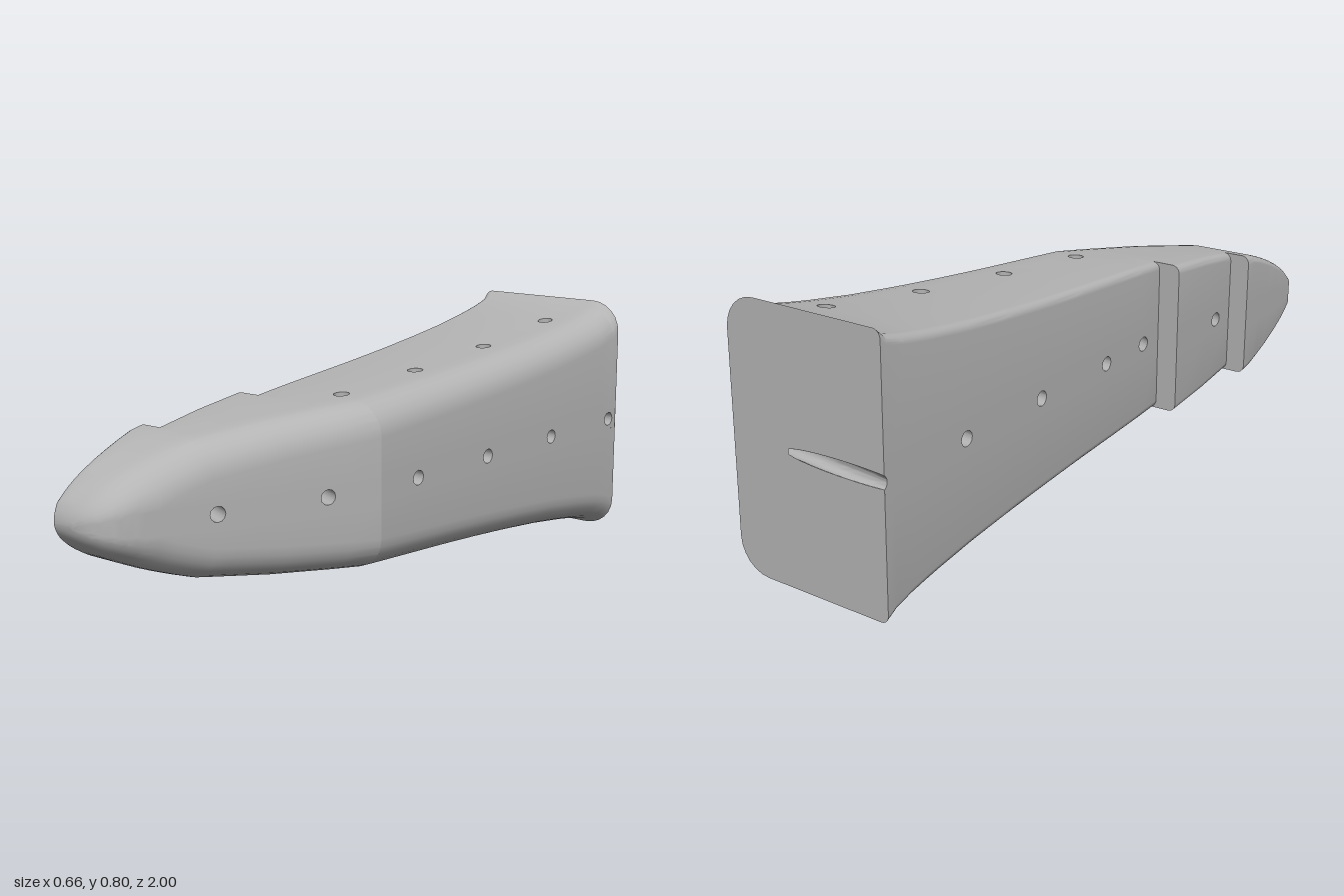
import * as THREE from 'three';
import { mergeGeometries, toCreasedNormals } from 'three/addons/utils/BufferGeometryUtils.js';

const CY = 0.403, R = 0.023, STRIP = 0.035, K_REAR = 0.105, K_FRONT = 0.467, KINK = 0.23, NOSE = 0.88;

// piecewise linear lookup in [z, value] pairs, z rising
function lookup(table, z) {
  for (let i = 1; i < table.length; i++) {
    const [z0, a] = table[i - 1], [z1, b] = table[i];
    if (z <= z1) return a + (b - a) * (z - z0) / (z1 - z0);
  }
  return table[table.length - 1][1];
}
const HEIGHT = [[-1, 0.4], [-0.96, 0.378], [-0.9, 0.362], [-0.81, 0.345], [-0.64, 0.321], [-0.47, 0.303],
  [-0.3, 0.288], [-0.13, 0.275], [0.04, 0.264], [0.21, 0.253], [0.32, 0.244], [0.5, 0.226], [0.66, 0.203], [0.7, 0.197]];
const NOSE_EDGE = [[0.88, -0.104], [0.92, -0.125], [0.95, -0.146], [0.975, -0.174], [0.99, -0.205], [1, -0.25]];
const halfHeight = z => z > 0.7 ? Math.max(0.36 * Math.sqrt(Math.max(0, 1 - z)), 0.004) : lookup(HEIGHT, z);
const outerX = z => z > NOSE ? lookup(NOSE_EDGE, z) : 0.2 - (z > KINK ? K_FRONT : K_REAR) * (z - KINK);
const rearZ = y => -1 + 0.015 * y / 0.803;

const STEPS = [{ z0: -1, z1: 0.32, x: -0.2 }, { z0: 0.32, z1: 0.66, x: -0.27 }, { z0: 0.66, z1: NOSE, x: -0.335 }];

// rounded cross-section, counterclockwise seen from the front
function section(z, xl) {
  const h = halfHeight(z), xr = outerX(z), w = xr - xl, upper = [];
  const rx = Math.min(0.1, w * 0.45), ry = Math.min(0.1, h * 0.7);
  const rl = Math.min(0.025, w * 0.2, h * 0.4), s = Math.min(STRIP, (h - ry) * 0.9);
  upper.push([xr, s]);
  for (let i = 0; i <= 6; i++) {
    const a = i * Math.PI / 12;
    upper.push([xr - rx + rx * Math.cos(a), h - ry + ry * Math.sin(a)]);
  }
  for (const d of [0.138, 0.198]) upper.push([Math.max(xr - d, xl + rl), h]);
  for (let i = 0; i <= 5; i++) {
    const a = Math.PI / 2 + i * Math.PI / 10;
    upper.push([xl + rl + rl * Math.cos(a), h - rl + rl * Math.sin(a)]);
  }
  upper.push([xl, s]);
  const ring = [...upper, ...upper.map(([x, y]) => [x, -y]).reverse()];
  return ring.map(([x, y]) => new THREE.Vector3(x, CY + y, z === -1 ? rearZ(CY + y) : z));
}

function fromTriangles(points) {
  return new THREE.BufferGeometry().setFromPoints(points);
}
function addTri(out, a, b, c) {
  const n = b.clone().sub(a).cross(c.clone().sub(a));
  if (n.length() > 1e-9) out.push(a, b, c);
}
function addQuad(out, a, b, c, d) {
  addTri(out, a, b, c);
  addTri(out, a, c, d);
}

// flat strip along one side with holes; dir 1 faces +x, -1 faces -x
function sideStrip(z0, z1, xAt, dir, holes, notch = []) {
  const to2 = (z, y) => new THREE.Vector2(-dir * z, y);
  const e = y => z0 === -1 ? rearZ(y) : z0, lo = CY - STRIP, hi = CY + STRIP;
  const shape = new THREE.Shape([to2(z1, lo), to2(z1, hi), to2(e(hi), hi),
    ...notch.map(p => to2(p.z, p.y)), to2(e(lo), lo)]);
  for (const loop of holes) shape.holes.push(new THREE.Path(loop.map(p => to2(p.z, p.y))));
  const g = new THREE.ShapeGeometry(shape), p = g.attributes.position;
  for (let i = 0; i < p.count; i++) {
    const z = -dir * p.getX(i);
    p.setXYZ(i, xAt(z), p.getY(i), z);
  }
  return g.toNonIndexed();
}

// sideways bore square to the outer face, returned as rings from outer to inner end
function sideBore(z, k, xl) {
  const len = Math.hypot(1, k), back = rearZ(CY), x0 = outerX(z), open = z < -0.9;
  const rings = [], count = open ? 24 : 1;
  for (let f = 0; f <= count; f++) {
    const t = f / count, axisZ = z - k * (x0 - xl) * t;
    const limit = open ? Math.acos(THREE.MathUtils.clamp((back - axisZ) / R, -1, 1)) : Math.PI;
    const ring = [];
    for (let i = 0; i <= 12; i++) {
      const a = limit * (i / 6 - 1), c = R * Math.cos(a) / len;
      const sx = x0 - k * c, sz = z + c, run = (sx - xl) * t;
      ring.push(new THREE.Vector3(sx - run, CY + R * Math.sin(a), sz - k * run));
    }
    ring.cut = limit < Math.PI - 1e-4;
    rings.push(ring);
  }
  return rings;
}

export function createModel() {
  const group = new THREE.Group();
  const grey = new THREE.MeshStandardMaterial({ color: 0xb4b4b4, side: THREE.DoubleSide });
  const add = (name, geometry) => {
    const mesh = new THREE.Mesh(geometry, grey);
    mesh.name = name;
    group.add(mesh);
  };
  const bores = [];

  // rows from nose to rear, with paired rows at the two steps
  const uprightHoles = [0.2, -0.13, -0.47, -0.81], half = 0.028;
  const zs = new Set([1, 0.9985, 0.995, 0.99, 0.983, 0.975, 0.963, 0.95, 0.935, 0.92, 0.9, NOSE, 0.84, 0.8, 0.75, KINK]);
  HEIGHT.forEach(([z]) => {
    if (!uprightHoles.some(c => Math.abs(c - z) < half)) zs.add(z);
  });
  uprightHoles.forEach(c => zs.add(c + half).add(c - half));
  const rows = [];
  for (const z of [...zs].sort((a, b) => b - a)) {
    for (const s of [...STEPS].reverse()) {
      const noseX = z > 0.975 ? -0.335 + 0.6 * (z - 0.975) : -0.335;
      if (z > NOSE ? s.x === -0.335 : z >= s.z0 && z <= s.z1) rows.push({ z, ring: section(z, z > NOSE ? noseX : s.x) });
    }
  }

  // main shell, with round openings in the top and bottom
  const shell = [], m = rows[0].ring.length, n = m / 2;
  for (let i = 0; i + 1 < rows.length; i++) {
    const { z, ring: A } = rows[i], { z: zn, ring: B } = rows[i + 1];
    const hole = uprightHoles.some(c => Math.abs((z + zn) / 2 - c) < 1e-6);
    for (let j = 0; j < m; j++) {
      const k = (j + 1) % m;
      if ((j === n - 1 || j === m - 1) && z <= NOSE && z !== zn) continue;
      if (!hole || (j !== 8 && j !== m - 10)) {
        addQuad(shell, A[j], B[j], B[k], A[k]);
        continue;
      }
      const at = (u, v) => A[j].clone().lerp(A[k], v).lerp(B[j].clone().lerp(B[k], v), u);
      const inner = [], outer = [];
      for (let q = 0; q <= 16; q++) {
        const c = Math.cos(q * Math.PI / 8), s = Math.sin(q * Math.PI / 8), e = 0.5 / Math.max(Math.abs(c), Math.abs(s));
        inner.push(at(0.5 + c * R / (2 * half), 0.5 + s * R / 0.06));
        outer.push(at(0.5 + c * e, 0.5 + s * e));
      }
      for (let q = 0; q < 16; q++) addQuad(shell, outer[q], outer[q + 1], inner[q + 1], inner[q]);
      if (j === 8) {
        const low = inner.map(p => new THREE.Vector3(p.x, 2 * CY - p.y, p.z));
        for (let q = 0; q < 16; q++) addQuad(bores, inner[q], inner[q + 1], low[q + 1], low[q]);
      }
    }
  }
  const tip = rows[0].ring;
  for (let j = 1; j + 1 < m; j++) addTri(shell, tip[0], tip[j], tip[j + 1]);
  add('shell', toCreasedNormals(fromTriangles(shell), 0.32));

  // sideways bores; the rearmost one breaks out through the back as a groove
  const side = [0.69, 0.385, 0.065, -0.27, -0.61, -0.95].map(z =>
    ({ z, rings: sideBore(z, z > KINK ? K_FRONT : K_REAR, z > 0.6 ? -0.27 : -0.2) }));
  for (const { rings } of side) {
    for (let f = 0; f + 1 < rings.length; f++) {
      for (let i = 0; i < 12; i++) addQuad(bores, rings[f][i], rings[f][i + 1], rings[f + 1][i + 1], rings[f + 1][i]);
    }
  }
  add('drillHoles', toCreasedNormals(fromTriangles(bores), 0.7));

  // flat side strips that carry the openings
  const first = s => s.rings[0].slice(0, 12), last = s => s.rings[s.rings.length - 1];
  const groove = side[5].rings;
  const strips = [
    sideStrip(KINK, NOSE, outerX, 1, side.slice(0, 2).map(first)),
    sideStrip(-1, KINK, outerX, 1, side.slice(2).map(first)),
    sideStrip(-1, 0.32, () => -0.2, -1, side.slice(1, 5).map(s => last(s).slice(0, 12)), [...last(side[5])].reverse()),
    sideStrip(0.32, 0.66, () => -0.27, -1, [last(side[0]).slice(0, 12)]),
    sideStrip(0.66, NOSE, () => -0.335, -1, []),
  ];
  const sides = mergeGeometries(strips);
  sides.computeVertexNormals();
  add('sideStrips', sides);

  // rear face with the groove cut out of its outline
  const rear = rows[rows.length - 1].ring, cut = groove.filter(r => r.cut);
  const outline = [...rear.slice(0, n), ...[...cut].reverse().map(r => r[12]), ...cut.map(r => r[0]), ...rear.slice(n)];
  const back = new THREE.ShapeGeometry(new THREE.Shape(outline.map(p => new THREE.Vector2(-p.x, p.y))));
  back.rotateY(Math.PI);
  const bp = back.attributes.position;
  for (let i = 0; i < bp.count; i++) bp.setZ(i, rearZ(bp.getY(i)));
  back.computeVertexNormals();
  add('rearFace', back);
  return group;
}
